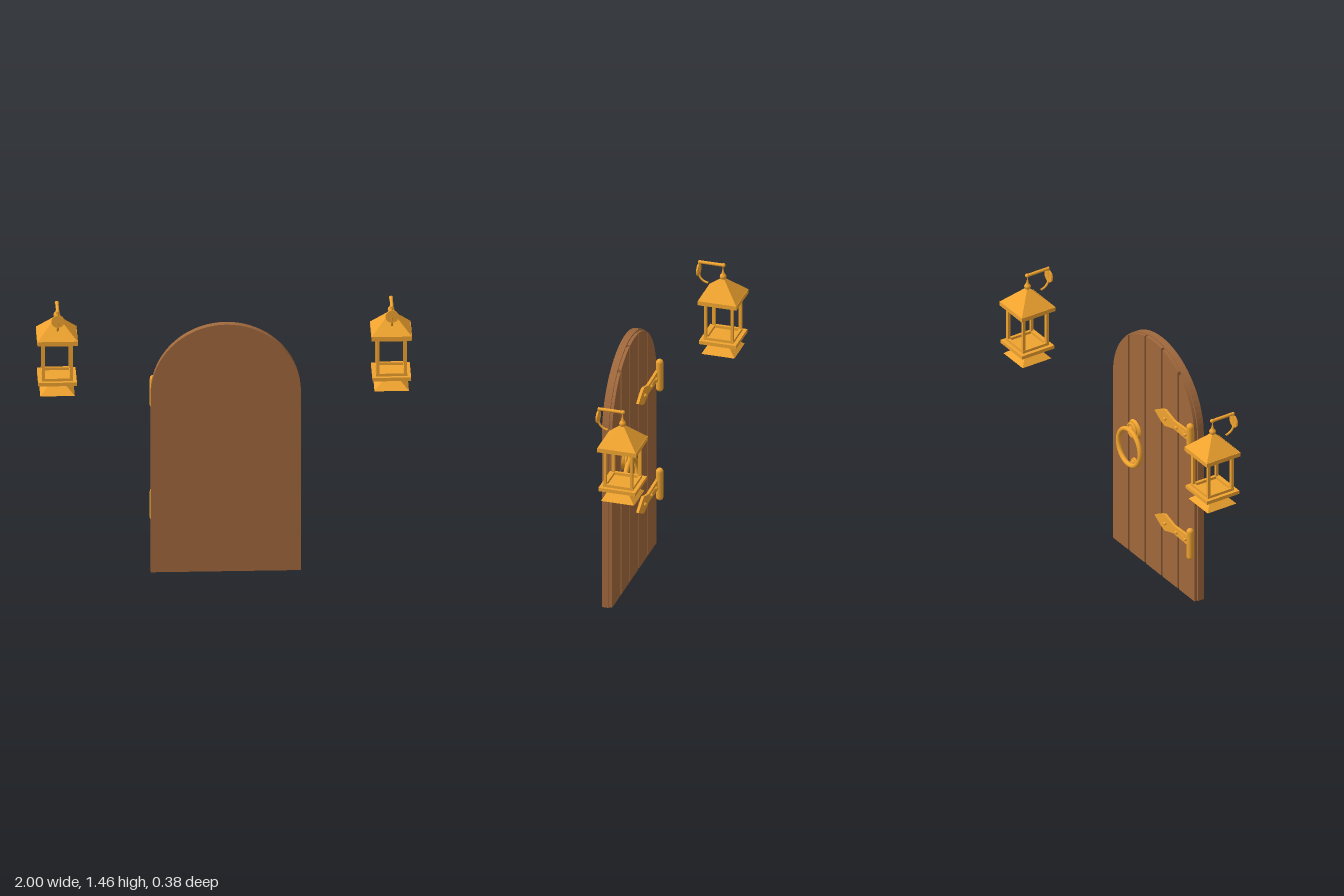
import * as THREE from 'three';

const wood = new THREE.MeshStandardMaterial({ color: 0xa0683c });
const gold = new THREE.MeshStandardMaterial({ color: 0xf0a32f });
const goldFlat = new THREE.MeshStandardMaterial({ color: 0xf0a32f, flatShading: true, side: THREE.DoubleSide });

const SPRING = 1.03; // height where the arch begins

function add(parent, name, geometry, material, x = 0, y = 0, z = 0) {
  const mesh = new THREE.Mesh(geometry, material);
  mesh.name = name;
  mesh.position.set(x, y, z);
  parent.add(mesh);
  return mesh;
}

const box = (w, h, d) => new THREE.BoxGeometry(w, h, d);
const ball = (r) => new THREE.SphereGeometry(r, 20, 14);
const extrude = (shape, depth) => new THREE.ExtrudeGeometry(shape, { depth, bevelEnabled: false });
const discZ = (r1, r2, h) => new THREE.CylinderGeometry(r1, r2, h, 32).rotateX(Math.PI / 2);

// Four-sided pyramid or frustum given by half widths
const pyramid = (top, bottom, h, open = false) =>
  new THREE.CylinderGeometry(top * Math.SQRT2, bottom * Math.SQRT2, h, 4, 1, open).rotateY(Math.PI / 4);

// Flat square frame lying in the xz plane
function squareFrame(half, inner, h) {
  const square = (s, Type) => new Type([[-s, -s], [s, -s], [s, s], [-s, s]].map((p) => new THREE.Vector2(...p)));
  const shape = square(half, THREE.Shape);
  shape.holes.push(square(inner, THREE.Path));
  return extrude(shape, h).rotateX(-Math.PI / 2).translate(0, -h / 2, 0);
}

// Strip of the arched door between x0 and x1
function archStrip(x0, x1, radius) {
  const pts = [new THREE.Vector2(x0, 0), new THREE.Vector2(x1, 0)];
  const a0 = Math.acos(x1 / radius);
  const a1 = Math.acos(x0 / radius);
  const n = Math.max(6, Math.ceil((a1 - a0) * 12));
  for (let i = 0; i <= n; i++) {
    const a = a0 + ((a1 - a0) * i) / n;
    pts.push(new THREE.Vector2(radius * Math.cos(a), SPRING + radius * Math.sin(a)));
  }
  return new THREE.Shape(pts);
}

function makeDoor() {
  const door = new THREE.Group();
  door.name = 'door';
  add(door, 'doorPanel', extrude(archStrip(-0.4, 0.4, 0.4), 0.038), wood, 0, 0, 0.152);
  // Five planks with narrow grooves between them
  const edges = [-0.392, -0.238, -0.08, 0.08, 0.238, 0.392];
  for (let i = 0; i < 5; i++) {
    const x0 = edges[i] + (i > 0 ? 0.007 : 0);
    const x1 = edges[i + 1] - (i < 4 ? 0.007 : 0);
    add(door, 'plank', extrude(archStrip(x0, x1, 0.392), 0.018), wood, 0, 0, 0.135);
  }
  return door;
}

function makeHinge(y) {
  const hinge = new THREE.Group();
  hinge.name = 'hinge';
  hinge.position.y = y;
  add(hinge, 'hingeBarrel', new THREE.CapsuleGeometry(0.02, 0.152, 8, 20), gold, -0.383, 0, 0.114);
  // Strap with a spear-shaped end
  const half = [[-0.38, 0.03], [-0.21, 0.024], [-0.125, 0.05], [-0.09, 0.035], [-0.03, 0]];
  const outline = [...half, ...half.slice(0, -1).reverse().map(([x, h]) => [x, -h])];
  const shape = new THREE.Shape(outline.map((p) => new THREE.Vector2(...p)));
  add(hinge, 'hingeStrap', extrude(shape, 0.016), gold, 0, 0, 0.12);
  add(hinge, 'strapInlay', box(0.06, 0.016, 0.005), gold, -0.288, 0, 0.119);
  for (const x of [-0.33, -0.245, -0.135]) {
    add(hinge, 'rivet', ball(0.01), gold, x, 0, 0.117);
  }
  return hinge;
}

function makeKnocker() {
  const knocker = new THREE.Group();
  knocker.name = 'knocker';
  knocker.position.x = 0.178;
  add(knocker, 'backPlate', discZ(0.057, 0.05, 0.014), gold, 0, 0.785, 0.129);
  add(knocker, 'plateStep', discZ(0.042, 0.038, 0.012), gold, 0, 0.785, 0.117);
  add(knocker, 'plateRim', new THREE.TorusGeometry(0.038, 0.007, 10, 32), gold, 0, 0.785, 0.114);
  add(knocker, 'hub', ball(0.018), gold, 0, 0.79, 0.108);
  add(knocker, 'ring', new THREE.TorusGeometry(0.104, 0.0135, 14, 48), gold, 0, 0.685, 0.097).rotation.x = 0.04;
  add(knocker, 'strikePlate', discZ(0.028, 0.025, 0.012), gold, 0, 0.578, 0.13);
  add(knocker, 'strikeStud', discZ(0.016, 0.014, 0.016), gold, 0, 0.578, 0.116);
  return knocker;
}

function makeLantern(x) {
  const lantern = new THREE.Group();
  lantern.name = 'lantern';
  lantern.position.set(x, 0, -0.08);

  // Roof
  add(lantern, 'roof', pyramid(0.007, 0.106, 0.102, true), goldFlat, 0, 1.325, 0);
  add(lantern, 'eaves', squareFrame(0.108, 0.085, 0.024), gold, 0, 1.262, 0);
  add(lantern, 'topRail', squareFrame(0.083, 0.067, 0.014), gold, 0, 1.244, 0);

  // Corner posts
  for (const sx of [-1, 1]) {
    for (const sz of [-1, 1]) add(lantern, 'post', box(0.016, 0.21, 0.016), gold, sx * 0.074, 1.143, sz * 0.074);
  }

  // Base and drip skirt
  add(lantern, 'bottomRail', squareFrame(0.083, 0.067, 0.016), gold, 0, 1.042, 0);
  add(lantern, 'floor', box(0.206, 0.02, 0.206), gold, 0, 1.025, 0);
  add(lantern, 'skirt', pyramid(0.025, 0.092, 0.063), goldFlat, 0, 0.984, 0);
  add(lantern, 'bottomFinial', ball(0.016), gold, 0, 0.943, 0);

  // Finial and hanger
  add(lantern, 'topFinial', ball(0.018), gold, 0, 1.386, 0);
  const hanger = [[0.011, 1.4], [0.006, 1.412], [0.003, 1.43], [0.003, 1.455]];
  add(lantern, 'hanger', new THREE.LatheGeometry(hanger.map((p) => new THREE.Vector2(...p)), 16), gold);

  // Wall bracket
  add(lantern, 'arm', new THREE.CylinderGeometry(0.009, 0.009, 0.136, 16).rotateX(Math.PI / 2), gold, 0, 1.453, 0.068);
  add(lantern, 'armTip', ball(0.0115), gold, 0, 1.453, -0.002);
  add(lantern, 'bracketStem', new THREE.CylinderGeometry(0.006, 0.006, 0.06, 12), gold, 0, 1.425, 0.134);
  add(lantern, 'wallPlate', discZ(0.035, 0.035, 0.009), gold, 0, 1.405, 0.136);
  const scroll = new THREE.QuadraticBezierCurve3(
    new THREE.Vector3(0, 1.398, 0.137), new THREE.Vector3(0, 1.34, 0.133), new THREE.Vector3(0, 1.335, 0.082));
  add(lantern, 'scroll', new THREE.TubeGeometry(scroll, 16, 0.006, 10), gold);
  return lantern;
}

export function createModel() {
  const model = new THREE.Group();
  model.name = 'archedDoorWithLanterns';
  model.add(makeDoor(), makeHinge(1.015), makeHinge(0.362), makeKnocker());
  for (const side of [-1, 1]) model.add(makeLantern(side * 0.89));
  return model;
}
